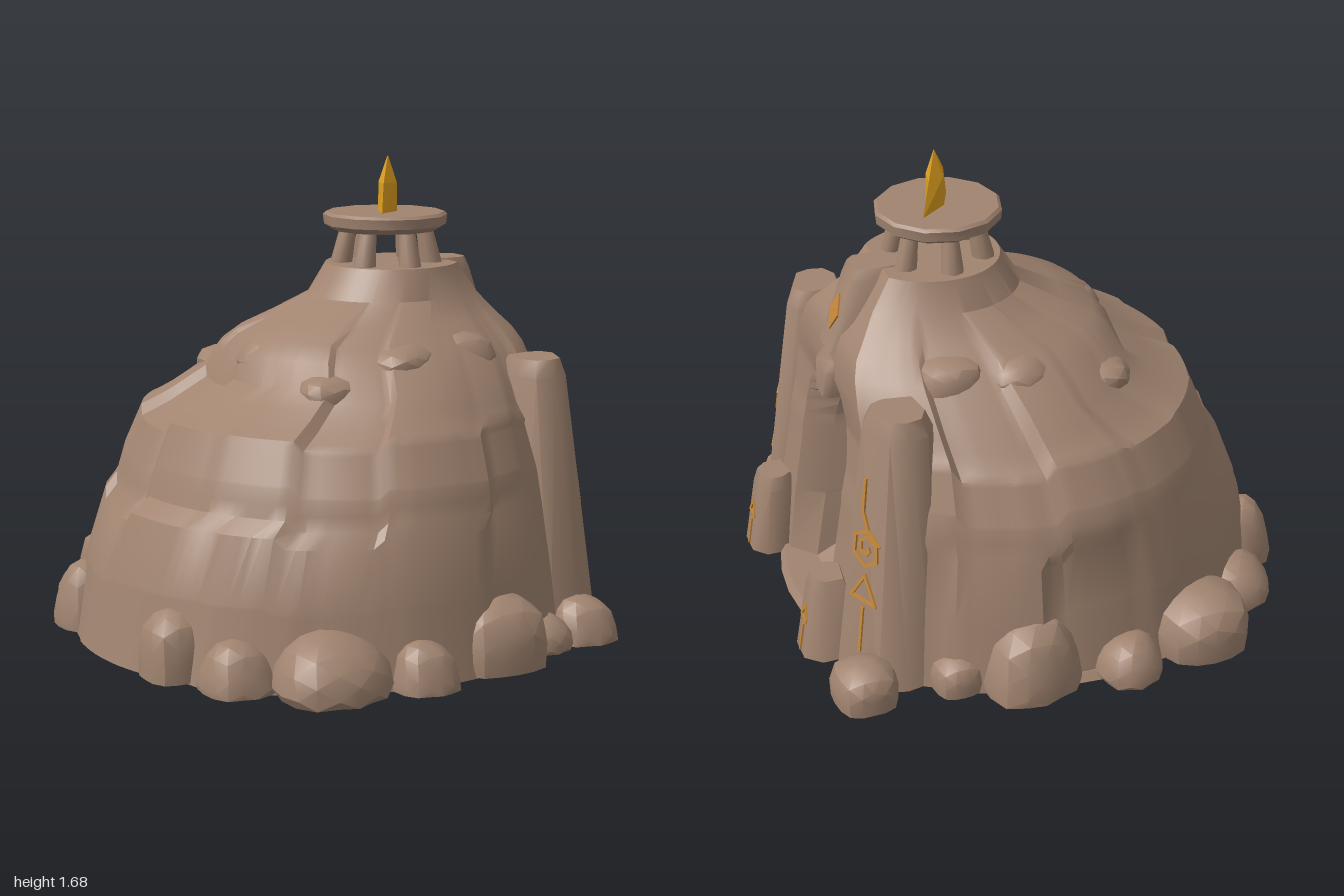
import * as THREE from 'three';
import { toCreasedNormals } from 'three/addons/utils/BufferGeometryUtils.js';

const mat = (name, color) => Object.assign(new THREE.MeshStandardMaterial({ color }), { name });
const hash = (a, b = 0) => {
  const v = Math.sin(a * 127.1 + b * 311.7) * 43758.5453;
  return v - Math.floor(v);
};

// piecewise-linear lookup in rows of [y, ...values]
function sample(table, y) {
  let i = 0;
  while (i < table.length - 2 && y > table[i + 1][0]) i++;
  const a = table[i], b = table[i + 1];
  const k = Math.min(1, Math.max(0, (y - a[0]) / (b[0] - a[0])));
  return a.map((v, j) => v + (b[j] - v) * k);
}

// skin a stack of horizontal rings of [x, y, z], closing the top and bottom
function loft(rings, crease = 0.6) {
  const n = rings[0].length, pos = [];
  let area = 0;
  rings[0].forEach((p, j) => {
    const q = rings[0][(j + 1) % n];
    area += p[0] * q[2] - q[0] * p[2];
  });
  const tri = (a, b, c) => (area > 0 ? pos.push(...a, ...b, ...c) : pos.push(...a, ...c, ...b));
  const centre = (r) => [0, 1, 2].map((k) => r.reduce((s, p) => s + p[k], 0) / n);
  const top = rings[rings.length - 1], cb = centre(rings[0]), ct = centre(top);
  for (let j = 0; j < n; j++) {
    const m = (j + 1) % n;
    for (let i = 0; i < rings.length - 1; i++) {
      const a = rings[i][j], b = rings[i][m], c = rings[i + 1][j], d = rings[i + 1][m];
      tri(a, c, b);
      tri(b, c, d);
    }
    tri(cb, rings[0][j], rings[0][m]);
    tri(ct, top[m], top[j]);
  }
  const g = new THREE.BufferGeometry();
  g.setAttribute('position', new THREE.Float32BufferAttribute(pos, 3));
  return toCreasedNormals(g, crease);
}

export function createModel() {
  const root = new THREE.Group();
  root.name = 'caveShrine';
  const stone = mat('stone', 0xa18470);
  const gold = mat('goldCrystal', 0xe0a01f);
  const glow = mat('runeOrange', 0xc4863a);
  const add = (name, geo, material = stone, parent = root) => {
    const m = new THREE.Mesh(geo, material);
    m.name = name;
    parent.add(m);
    return m;
  };

  // rock mound: [y, back x, half width, centre x, front x]
  const profile = [
    [0, -0.92, 0.89, 0, 0.8], [0.28, -0.87, 0.86, 0, 0.76], [0.5, -0.79, 0.83, 0.01, 0.725],
    [0.55, -0.72, 0.81, 0.02, 0.72], [0.65, -0.69, 0.79, 0.03, 0.7], [0.8, -0.63, 0.72, 0.05, 0.68],
    [0.85, -0.52, 0.67, 0.07, 0.68], [0.93, -0.38, 0.6, 0.1, 0.68], [1.02, -0.34, 0.5, 0.14, 0.67],
    [1.07, -0.29, 0.43, 0.16, 0.65], [1.12, -0.17, 0.36, 0.2, 0.61], [1.19, -0.02, 0.27, 0.25, 0.56],
    [1.3, 0.05, 0.23, 0.28, 0.49]];
  // doorway: [y, outer half width, inner half width, depth of the inner wall]
  const door = [
    [0, 0.24, 0.14, 0.05], [0.03, 0.24, 0.15, 0.08], [0.27, 0.25, 0.19, 0.6], [0.6, 0.25, 0.19, 0.5],
    [0.66, 0.25, 0.175, 0.46], [0.7, 0.245, 0.15, 0.43], [0.74, 0.235, 0.1, 0.4], [0.77, 0.22, 0.05, 0.35],
    [0.785, 0.215, 0, 0.1], [0.82, 0.195, 0, 0.09], [0.88, 0.14, 0, 0.06], [0.93, 0, 0, 0]];
  const heights = [...new Set([...profile, ...door].map((r) => r[0]))].sort((a, b) => a - b);
  const t0 = Math.acos(0.8), N = 110;
  const mound = heights.map((y) => {
    const [, xb, rz, cx, xf] = sample(profile, y);
    const [, w0, w1, depth] = sample(door, y);
    const course = y < 0.52 ? 0 : y < 0.82 ? 1 : y < 1.04 ? 2 : 3;
    const xr = xf - Math.min(depth, 0.1), xi = xf - depth;
    const lift = Math.min(1, y / 0.5, Math.max(0, (1.19 - y) / 0.26));
    const ring = [[xi, y, w1], [xr, y, w1], [xf, y, w0]];
    for (let i = 0; i <= N; i++) {
      const t = t0 + (2 * Math.PI - 2 * t0) * (i / N);
      // uneven slabs: each block has its own bulge and ledge height
      const block = Math.floor((i / N) * [13, 11, 8, 1][course] + course * 0.4);
      const edge = i < 6 || i > N - 6;
      const k = edge || course === 3 ? 1 : 0.985 + 0.045 * (hash(block, course) - 0.3);
      const dy = edge ? 0 : (hash(Math.floor((i / N) * 12), 9) - 0.5) * 0.09 * lift;
      const c = Math.cos(t), rx = c > 0 ? (xf - cx) / 0.8 : cx - xb;
      ring.push([cx + c * rx * k, y + dy, Math.sin(t) * rz * k]);
    }
    ring.push([xf, y, -w0], [xr, y, -w1], [xi, y, -w1]);
    return ring;
  });
  add('rockMound', loft(mound, 0.55));
  const base = add('baseDisc', new THREE.CylinderGeometry(0.87, 0.89, 0.03, 40));
  base.position.set(-0.02, 0.015, 0);

  // weathered boulder, cut flat on the ground
  const boulder = (name, x, y, z, rx, ry, rz, seed) => {
    const g = new THREE.IcosahedronGeometry(1, 2), p = g.attributes.position;
    for (let i = 0; i < p.count; i++) {
      const a = p.getX(i), b = p.getY(i), c = p.getZ(i);
      const k = 0.96 + 0.06 * Math.sin(3 * a + seed) * Math.cos(3 * c + seed * 2) + 0.04 * Math.sin(5 * b + seed);
      const r = k / Math.pow(a ** 4 + b ** 4 + c ** 4, 0.08);
      p.setXYZ(i, x + a * rx * r, Math.max(0.004, y + b * ry * r), z + c * rz * r);
    }
    add(name, toCreasedNormals(g, 0.5));
  };
  // ring of base boulders: [x, z, radius, height]
  [[-0.42, 0.77, 0.2, 0.24], [-0.12, 0.88, 0.12, 0.17], [0.22, 0.78, 0.19, 0.28], [0.47, 0.74, 0.1, 0.14],
    [-0.66, 0.58, 0.14, 0.18], [-0.78, 0.35, 0.13, 0.25]].forEach(([x, z, r, h], i) => {
    for (const s of [1, -1]) boulder('baseBoulder', x, h * 0.15, z * s, r, h * 0.82, r, i * 2 + s);
  });
  boulder('baseBoulder', 0.66, 0.03, 0.7, 0.13, 0.13, 0.13, 3);
  boulder('baseBoulder', 0.79, 0.03, -0.7, 0.125, 0.13, 0.13, 5);
  // stones bulging out of the upper slope
  [[0.08, 0.99, 0.4], [0.12, 0.99, -0.4], [-0.22, 0.99, 0.04], [0.36, 1.0, 0.36], [0.36, 1.0, -0.36],
    [-0.18, 0.9, 0.36], [-0.18, 0.9, -0.36]].forEach(([x, y, z], i) =>
    boulder('slopeStone', x, y, z, 0.13, 0.09, 0.12, i));

  // tapering standing stone; pts[0] and pts[1] are the corners of its carved face
  const post = (name, pts, y, h, cap, [px, pz, kx, kz], s, strokes) => {
    const g = new THREE.Group();
    g.name = name;
    root.add(g);
    const low = pts.map(([x, z]) => [x, y, z * s]);
    const high = pts.map(([x, z]) => [px + (x - px) * kx, y + h, (pz + (z - pz) * kz) * s]);
    const mx = high.reduce((a, p) => a + p[0], 0) / high.length;
    const mz = high.reduce((a, p) => a + p[2], 0) / high.length;
    const inset = high.map((p) => [mx + (p[0] - mx) * 0.78, y + h + cap, mz + (p[2] - mz) * 0.78]);
    add(name + 'Stone', loft([low, high, inset], 0.85), stone, g);
    // carved marks laid flat on the face
    const V = (p) => new THREE.Vector3(...p);
    const p0 = V(low[0]).lerp(V(low[1]), 0.5), p1 = V(high[0]).lerp(V(high[1]), 0.5);
    const Y = p1.clone().sub(p0).normalize();
    const X = V(low[0]).sub(V(low[1])).multiplyScalar(s).normalize();
    const Z = X.clone().cross(Y).normalize();
    X.copy(Y).cross(Z);
    const marks = new THREE.Group();
    marks.name = name + 'Runes';
    marks.applyMatrix4(new THREE.Matrix4().makeBasis(X, Y, Z).setPosition(p0.addScaledVector(Z, 0.002)));
    g.add(marks);
    for (const line of strokes) for (let i = 0; i < line.length - 1; i++) {
      const [ax, ay] = line[i], [bx, by] = line[i + 1];
      const len = Math.hypot(bx - ax, by - ay);
      const m = add('runeStroke', new THREE.BoxGeometry(len + 0.008, 0.012, 0.008), glow, marks);
      m.position.set((ax + bx) / 2, (ay + by) / 2, 0);
      m.rotation.z = Math.atan2(by - ay, bx - ax);
    }
  };
  const tri = (x, y, w, h) => [[x - w, y], [x + w, y], [x, y + h], [x - w, y]];
  const spiral = Array.from({ length: 13 }, (_, i) => {
    const r = 0.068 - Math.max(0, i - 4) * 0.0075, a = 0.5 + i * Math.PI / 3;
    return [Math.cos(a) * r, 0.52 + Math.sin(a) * r];
  });
  const pillarPts = [[0.83, 0.5], [0.74, 0.69], [0.64, 0.72], [0.53, 0.7], [0.47, 0.6], [0.5, 0.42], [0.7, 0.39], [0.79, 0.42]];
  const stelaPts = [[0.925, 0.31], [0.925, 0.41], [0.87, 0.46], [0.76, 0.46], [0.74, 0.3], [0.8, 0.26], [0.88, 0.26]];
  for (const s of [1, -1]) {
    post('gatePillar', pillarPts, 0, 0.94, 0.06, [0.48, 0.4, 0.63, 0.7], s,
      [[[-0.03, 0.77], [-0.03, 0.65], [0, 0.59]], spiral, tri(0, 0.32, 0.06, 0.095), [[0, 0.12], [0, 0.29]]]);
    post('doorStela', stelaPts, 0, 0.26, 0.05, [0.76, 0.36, 0.75, 0.78], s,
      [tri(0, 0.14, 0.028, 0.05), [[0, 0.01], [0, 0.11]]]);
  }

  // crest stone with a diamond mark, and the keystone over the door
  post('crestStone', [[0.69, -0.06], [0.69, 0.06], [0.64, 0.1], [0.42, 0.1], [0.42, -0.1], [0.64, -0.1]],
    1.0, 0.26, 0.045, [0.42, 0, 0.68, 0.8], 1,
    [0.034, 0.022, 0.01].map((w) => [[0, 0.14 - w * 1.8], [w, 0.14], [0, 0.14 + w * 1.8], [-w, 0.14], [0, 0.14 - w * 1.8]]));
  post('keystone', [[0.715, -0.04], [0.715, 0.04], [0.69, 0.055], [0.5, 0.055], [0.5, -0.055], [0.69, -0.055]],
    0.82, 0.11, 0.04, [0.5, 0, 0.97, 1.4], 1, []);

  // ring of leaning columns carrying the altar slab
  for (let i = 0; i < 6; i++) {
    const a = Math.PI / 6 + i * Math.PI / 3, c = Math.cos(a), d = Math.sin(a);
    const ring = (y, R, r) => Array.from({ length: 8 }, (_, j) => {
      const t = j * Math.PI / 4;
      return [0.27 + c * R + Math.cos(t) * r, y, d * R + Math.sin(t) * r];
    });
    add('altarColumn', loft([ring(1.29, 0.165, 0.042), ring(1.44, 0.135, 0.03)], 1));
  }
  const slab = [[0, 1.42], [0.19, 1.42], [0.222, 1.44], [0.226, 1.475], [0.215, 1.485], [0, 1.485]];
  const altar = add('altarSlab', toCreasedNormals(
    new THREE.LatheGeometry(slab.map((p) => new THREE.Vector2(...p)), 12), 0.6));
  altar.position.x = 0.265;

  // thin blade of crystal set diagonally
  const blade = (y, a, b, w) => [[0.275 - a * 0.66, y, a * 0.7], [0.275 - w, y, -w],
    [0.275 + b * 0.6, y, -b * 0.8], [0.275 + w, y, w]];
  add('crystal', loft([blade(1.48, 0.1, 0.13, 0.025), blade(1.59, 0.075, 0.06, 0.024),
    blade(1.685, 0.002, 0.002, 0.001)], 0.1), gold);
  return root;
}
